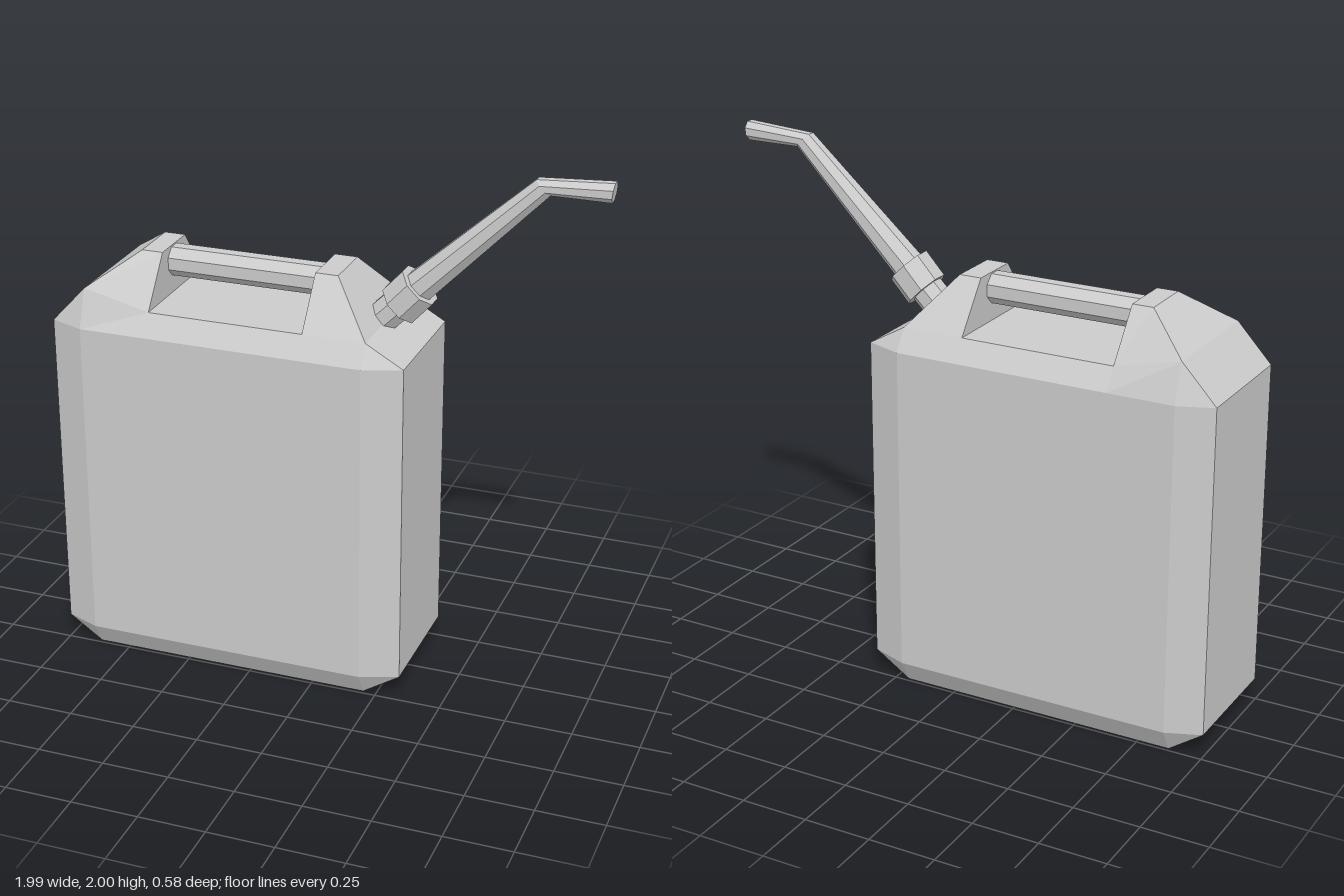
import * as THREE from 'three';

const material = new THREE.MeshStandardMaterial({ color: 0xcccccc, flatShading: true });

// Builds a flat-shaded mesh from convex polygons, listed counter-clockwise from outside
function polyMesh(name, polygons) {
  const pos = [];
  for (const p of polygons)
    for (let i = 1; i < p.length - 1; i++) pos.push(...p[0], ...p[i], ...p[i + 1]);
  const geo = new THREE.BufferGeometry();
  geo.setAttribute('position', new THREE.Float32BufferAttribute(pos, 3));
  geo.computeVertexNormals();
  const mesh = new THREE.Mesh(geo, material);
  mesh.name = name;
  return mesh;
}

// Capped eight-sided tube through rings of [x, y, radius, heading in degrees]
function ringTube(name, rings, sides = 8) {
  const loops = rings.map(([x, y, r, deg]) => {
    const a = THREE.MathUtils.degToRad(deg);
    return Array.from({ length: sides }, (_, j) => {
      const t = ((j + 0.5) / sides) * Math.PI * 2;
      const up = r * Math.cos(t);
      return [x - Math.sin(a) * up, y + Math.cos(a) * up, r * Math.sin(t)];
    });
  });
  const faces = [[...loops[0]].reverse(), loops[loops.length - 1]];
  for (let i = 0; i < loops.length - 1; i++)
    for (let j = 0; j < sides; j++) {
      const k = (j + 1) % sides;
      faces.push([loops[i][j], loops[i][k], loops[i + 1][k], loops[i + 1][j]]);
    }
  return polyMesh(name, faces);
}

function createBody() {
  const x0 = -1, x1 = -0.87, x2 = 0.2, x3 = 0.34;  // outer walls and chamfers
  const s0 = -0.62, s1 = -0.035;                   // handle slot
  const D = 0.288, d = 0.237, w = 0.1;             // half depths: side, chamfer, ridge
  const yb = 0.09, yt = 1.32, yf = 1.4, ys = 1.46, top = 1.58;

  // Front half, mirrored to the back
  const half = [
    [[x1, yb, D], [x2, yb, D], [x2, yt, D], [x1, yt, D]],
    [[x1, 0, d], [x2, 0, d], [x2, yb, D], [x1, yb, D]],
    // vertical chamfers and their corner triangles
    [[x2, yb, D], [x3, yb, d], [x3, yt, d], [x2, yt, D]],
    [[x2, 0, d], [x3, yb, d], [x2, yb, D]],
    [[x2, yt, D], [x3, yt, d], [x2, yf, d]],
    [[x0, yb, d], [x1, yb, D], [x1, yt, D], [x0, yt, d]],
    [[x0, yb, d], [x1, 0, d], [x1, yb, D]],
    [[x0, yt, d], [x1, yt, D], [x1, ys, d]],
    // shoulder bevel
    [[x1, yt, D], [s0, yt, D], [s0, yf, d], [x1, ys, d]],
    [[s0, yt, D], [s1, yt, D], [s1, yf, d], [s0, yf, d]],
    [[s1, yt, D], [x2, yt, D], [x2, yf, d], [s1, yf, d]],
    // sloping sides of the two handle mounts
    [[x1, ys, d], [s0, yf, d], [s0, top, w], [-0.7, top, w]],
    [[s1, yf, d], [x2, yf, d], [0.05, top, w], [s1, top, w]],
  ];
  const flip = ([x, y, z]) => [x, y, -z];
  const faces = [...half, ...half.map((p) => p.map(flip).reverse())];

  // Outline strip joining the two halves
  const outline = [
    [x1, 0, d], [x0, yb, d], [x0, yt, d], [x1, ys, d], [-0.7, top, w], [s0, top, w], [s0, yf, d],
    [s1, yf, d], [s1, top, w], [0.05, top, w], [x2, yf, d], [x3, yt, d], [x3, yb, d], [x2, 0, d],
  ];
  outline.forEach((a, i) => {
    const b = outline[(i + 1) % outline.length];
    faces.push([a, b, flip(b), flip(a)]);
  });
  return polyMesh('canBody', faces);
}

export function createModel() {
  const group = new THREE.Group();
  group.name = 'jerryCan';
  group.add(createBody());

  // Grip bar across the slot
  group.add(ringTube('handle', [[-0.63, 1.52, 0.059, 0], [-0.025, 1.52, 0.059, 0]]));

  // Pouring spout: neck, screw collar and bent tapering nozzle
  const spout = new THREE.Group();
  spout.name = 'spout';
  spout.add(
    ringTube('spoutNeck', [[0.185, 1.41, 0.062, 45], [0.27, 1.495, 0.062, 45]]),
    ringTube('spoutCollar', [[0.245, 1.465, 0.084, 45], [0.318, 1.545, 0.084, 45]]),
    ringTube('spoutNozzle', [[0.3, 1.525, 0.062, 44], [0.75, 1.957, 0.039, 44], [0.99, 1.965, 0.038, -6]]),
  );
  group.add(spout);
  return group;
}
